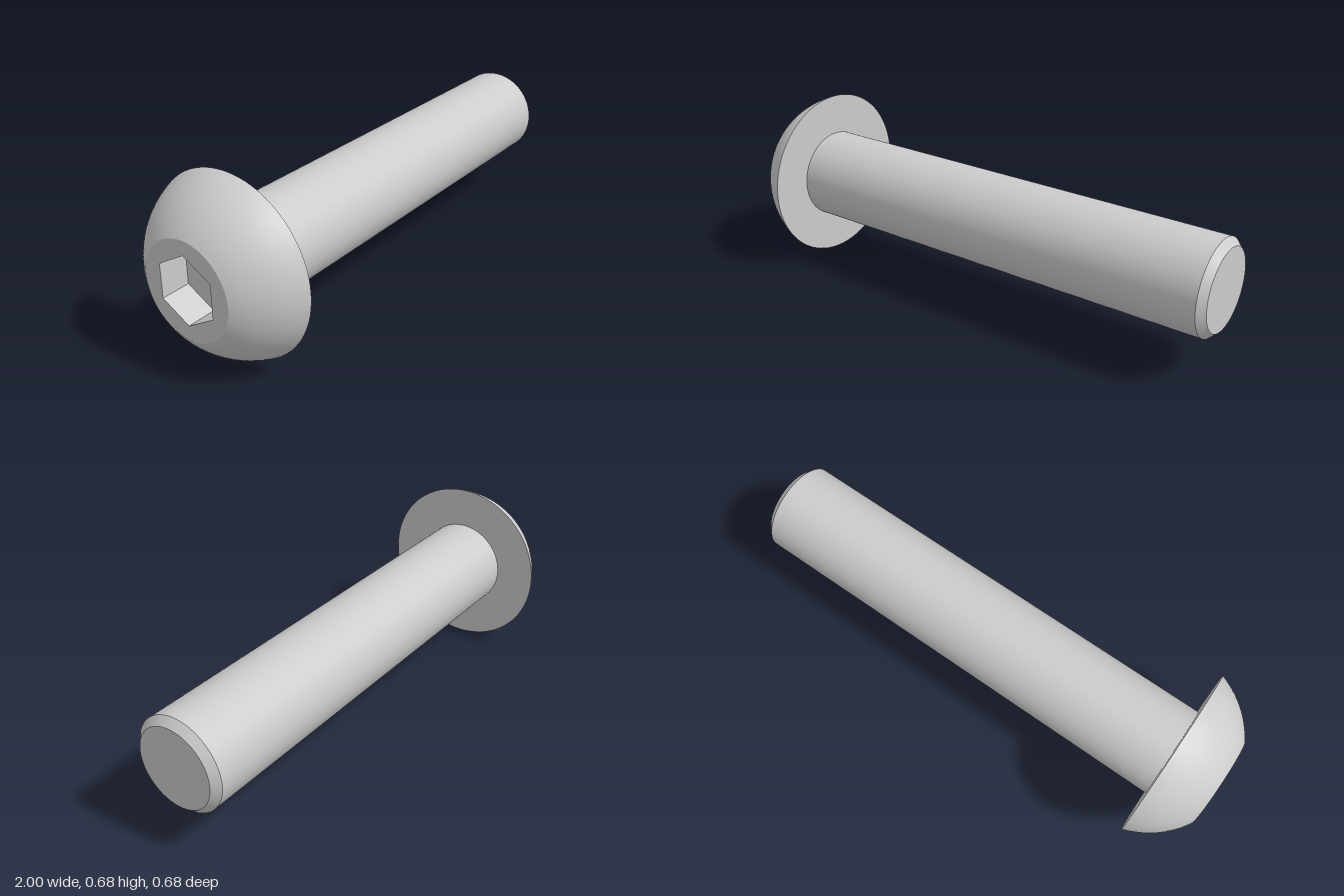
import * as THREE from 'three';

const SEG = 96;
const HEAD_R = 0.342, SHAFT_R = 0.18, TIP_R = 0.153;
const TOP = -1, SEAT = -0.802, BEVEL = 0.973, TIP = 1;
const HEX_R = 0.127, HEX_DEPTH = 0.112;

export function createModel() {
  const steel = new THREE.MeshStandardMaterial({ color: 0xcccccc });
  const flatSteel = new THREE.MeshStandardMaterial({ color: 0xcccccc, flatShading: true });

  // Built along local y, then laid down along x
  const screw = new THREE.Group();
  screw.name = 'screw';
  const add = (name, geometry, material = steel) => {
    const mesh = new THREE.Mesh(geometry, material);
    mesh.name = name;
    screw.add(mesh);
  };
  // Each turned surface is its own lathe so the edges between them stay sharp
  const turned = (name, points) =>
    add(name, new THREE.LatheGeometry(points.map(([r, y]) => new THREE.Vector2(r, y)), SEG));

  // Domed head: part of a sphere centred on the axis, through both rims
  const h = SEAT - TOP;
  const below = (HEAD_R ** 2 - SHAFT_R ** 2 - h * h) / (2 * h);
  const radius = Math.hypot(below, HEAD_R);
  const a0 = Math.atan2(SHAFT_R, below + h), a1 = Math.atan2(HEAD_R, below);
  const dome = [];
  for (let i = 0; i <= 16; i++) {
    const a = a0 + (a1 - a0) * i / 16;
    dome.push([radius * Math.sin(a), SEAT + below - radius * Math.cos(a)]);
  }
  turned('headDome', dome);
  turned('headUnderside', [[HEAD_R, SEAT], [SHAFT_R, SEAT]]);

  // Shaft with chamfered end
  turned('shaft', [[SHAFT_R, SEAT], [SHAFT_R, BEVEL]]);
  turned('tipChamfer', [[SHAFT_R, BEVEL], [TIP_R, TIP]]);
  turned('tipFace', [[TIP_R, TIP], [0, TIP]]);

  // Flat head face with hexagonal opening
  const face = new THREE.Shape().absarc(0, 0, SHAFT_R, 0, Math.PI * 2);
  const hex = Array.from({ length: 6 }, (_, i) => new THREE.Vector2(
    HEX_R * Math.cos(i * Math.PI / 3), HEX_R * Math.sin(i * Math.PI / 3)));
  face.holes.push(new THREE.Path(hex));
  add('headFace', new THREE.ShapeGeometry(face, SEG / 2).rotateX(Math.PI / 2).translate(0, TOP, 0));

  // Socket walls (mirrored so they face inwards) and floor
  const walls = new THREE.CylinderGeometry(HEX_R, HEX_R, HEX_DEPTH, 6, 1, true, Math.PI / 2)
    .scale(-1, 1, 1).translate(0, TOP + HEX_DEPTH / 2, 0).toNonIndexed();
  walls.computeVertexNormals();
  add('socketWalls', walls, flatSteel);
  add('socketFloor', new THREE.CircleGeometry(HEX_R, 6)
    .rotateX(Math.PI / 2).translate(0, TOP + HEX_DEPTH, 0));

  screw.rotation.z = -Math.PI / 2;
  screw.position.y = HEAD_R;
  const model = new THREE.Group();
  model.add(screw);
  return model;
}
